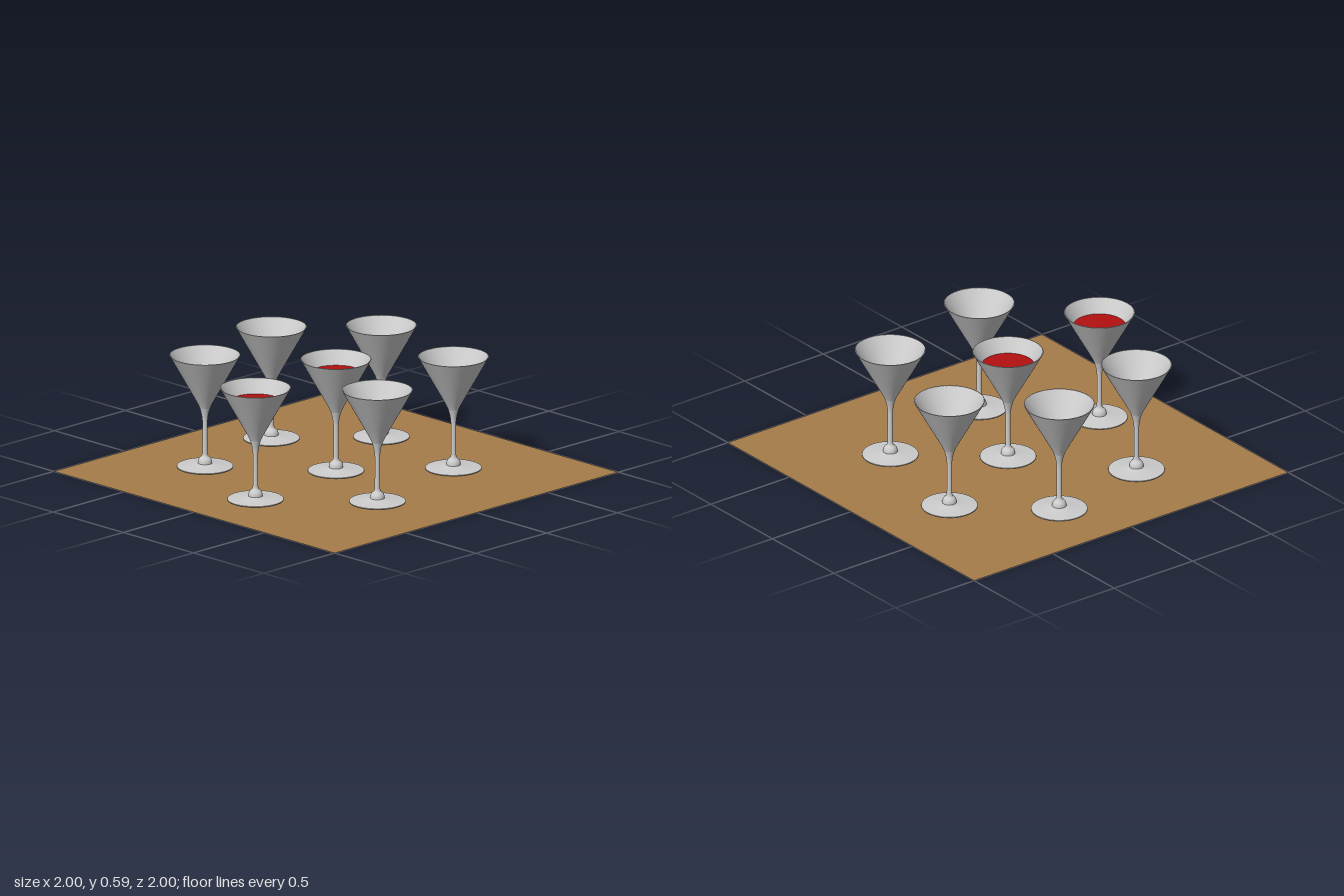
import * as THREE from 'three';

const material = (name, color, extra = {}) => {
  const m = new THREE.MeshStandardMaterial({ color, ...extra });
  m.name = name;
  return m;
};

const lathe = (points) =>
  new THREE.LatheGeometry(points.map(([r, y]) => new THREE.Vector2(r, y)), 48);

export function createModel() {
  const wood = material('wood brown', 0xa67c49, { side: THREE.DoubleSide });
  const glass = material('glass grey', 0xcccccc, { side: THREE.DoubleSide });
  const wine = material('wine red', 0xb31010, { side: THREE.DoubleSide });
  const model = new THREE.Group();
  model.name = 'tableWithGlasses';

  // Flat table top
  const table = new THREE.Mesh(new THREE.PlaneGeometry(2, 2).rotateX(-Math.PI / 2), wood);
  table.name = 'tableTop';
  model.add(table);

  // Profiles, listed from bottom to top
  const footShape = lathe([
    [0, 0.005], [0.141, 0.005], [0.142, 0.009], [0.141, 0.011],
    [0.1, 0.014], [0.06, 0.019], [0.036, 0.025],
  ]);
  const stemShape = lathe([
    [0.036, 0.024], [0.036, 0.034], [0.033, 0.045], [0.026, 0.055], [0.017, 0.061],
    [0.0135, 0.075], [0.013, 0.15], [0.013, 0.24], [0.015, 0.265], [0.02, 0.29], [0.027, 0.315],
  ]);
  const bowlShape = lathe([
    [0.027, 0.315], [0.036, 0.335], [0.06, 0.379], [0.12, 0.486], [0.176, 0.587],
    [0.178, 0.59], [0.174, 0.59], [0.171, 0.588],
    [0.114, 0.486], [0.054, 0.379], [0.03, 0.34], [0.015, 0.325], [0, 0.32],
  ]);
  const wineShape = new THREE.CircleGeometry(0.132, 48).rotateX(-Math.PI / 2);

  // Glass positions on the table, and whether each is filled
  const places = [
    [0, 0, true], [-0.637, 0.07, true], [-0.415, -0.514], [0.166, -0.628],
    [0.576, -0.259], [0.45, 0.382], [-0.23, 0.527],
  ];
  for (const [x, z, filled] of places) {
    const cup = new THREE.Group();
    cup.name = filled ? 'filledGlass' : 'emptyGlass';
    const parts = [['foot', footShape, glass], ['stem', stemShape, glass], ['bowl', bowlShape, glass]];
    if (filled) parts.push(['wineSurface', wineShape, wine]);
    for (const [name, geometry, mat] of parts) {
      const mesh = new THREE.Mesh(geometry, mat);
      mesh.name = name;
      if (name === 'wineSurface') mesh.position.y = 0.518;
      cup.add(mesh);
    }
    cup.position.set(x, 0, z);
    model.add(cup);
  }
  return model;
}
